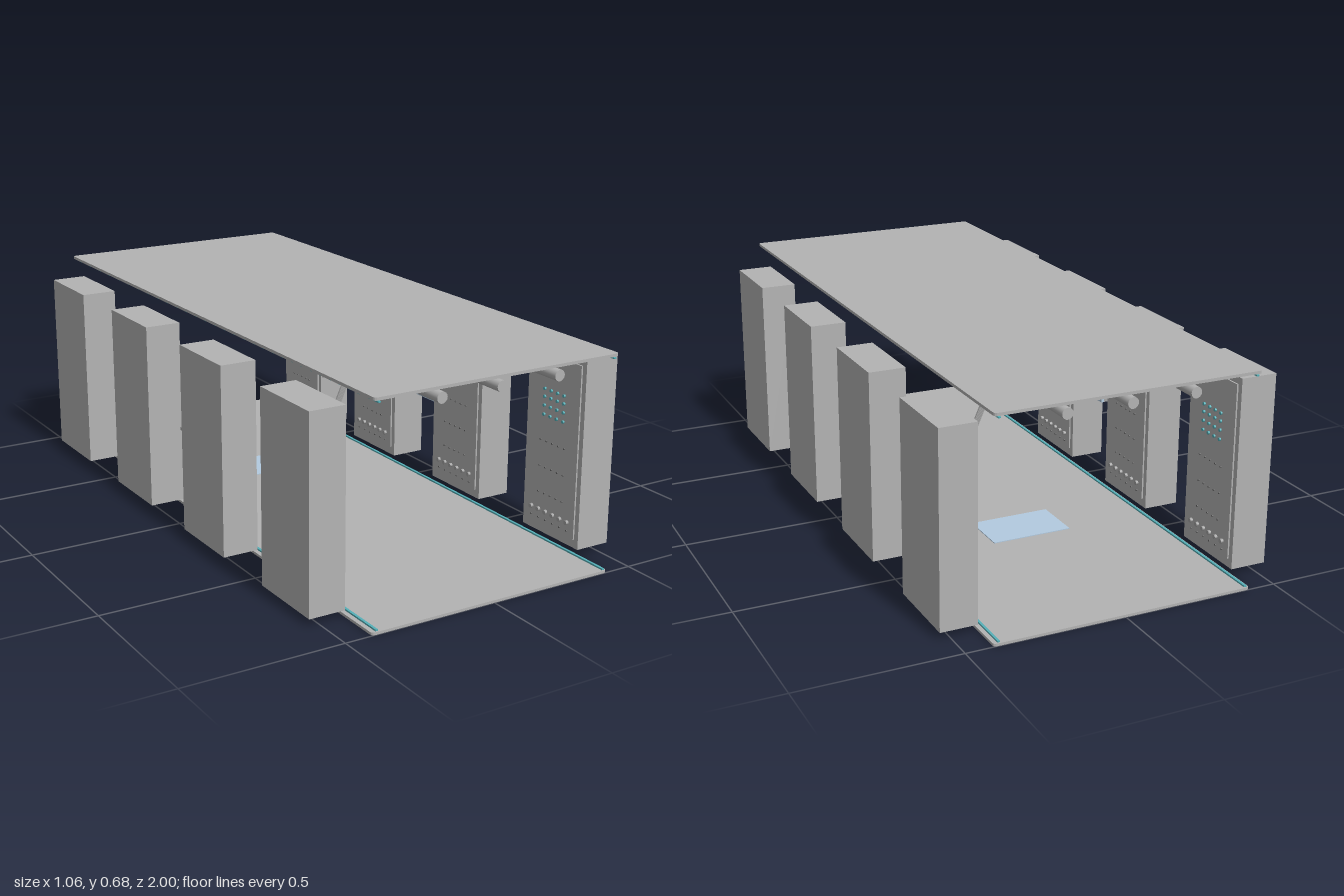
import * as THREE from 'three';

const mat = (name, color) => Object.assign(new THREE.MeshStandardMaterial({ color }), { name });

export function createModel() {
  const root = new THREE.Group();
  root.name = 'equipmentRoom';
  const grey = mat('grey', 0xb3b3b3);
  const steel = mat('steel', 0xa3a3a3);
  const teal = mat('teal', 0x55b0b8);
  const glass = mat('paleBlue', 0xb3cbe0);
  const dark = mat('darkGrey', 0x666666);

  const add = (parent, name, geo, material, x = 0, y = 0, z = 0) => {
    const m = new THREE.Mesh(geo, material);
    m.name = name;
    m.position.set(x, y, z);
    parent.add(m);
    return m;
  };
  const box = (parent, name, material, w, h, d, x, y, z) =>
    add(parent, name, new THREE.BoxGeometry(w, h, d), material, x, y, z);

  // Floor and ceiling: slabs with slightly rounded corners
  const slab = (name, y, h) => {
    const w = 0.415, d = 1, r = 0.012;
    const s = new THREE.Shape();
    s.moveTo(-w + r, -d);
    s.lineTo(w - r, -d);
    s.quadraticCurveTo(w, -d, w, -d + r);
    s.lineTo(w, d - r);
    s.quadraticCurveTo(w, d, w - r, d);
    s.lineTo(-w + r, d);
    s.quadraticCurveTo(-w, d, -w, d - r);
    s.lineTo(-w, -d + r);
    s.quadraticCurveTo(-w, -d, -w + r, -d);
    const g = new THREE.ExtrudeGeometry(s, { depth: h, bevelEnabled: false, curveSegments: 4 });
    g.rotateX(-Math.PI / 2);
    add(root, name, g, grey, 0, y, 0);
  };
  slab('floor', 0, 0.008);
  slab('ceiling', 0.668, 0.009);
  box(root, 'floorHatch', glass, 0.264, 0.003, 0.165, 0, 0.0092, -0.33);

  // Light strips along the long edges
  for (const s of [-1, 1]) {
    box(root, 'floorStrip', teal, 0.008, 0.005, 2, s * 0.4, 0.0135, 0);
    box(root, 'ceilingStrip', teal, 0.008, 0.004, 2, s * 0.4, 0.6635, 0);
  }

  // Ceiling rails with clamps and small hanging nozzles
  for (const x of [-0.2, 0, 0.2]) {
    const rail = new THREE.Group();
    rail.name = 'ceilingRail';
    rail.position.x = x;
    root.add(rail);
    const tube = new THREE.CylinderGeometry(0.017, 0.017, 2, 16);
    tube.rotateX(Math.PI / 2);
    add(rail, 'tube', tube, grey, 0, 0.643, 0);
    for (const z of [-0.58, 0, 0.58]) {
      box(rail, 'mountPlate', steel, 0.056, 0.006, 0.04, 0, 0.665, z);
      box(rail, 'mountStem', steel, 0.024, 0.012, 0.025, 0, 0.657, z);
      box(rail, 'clamp', steel, 0.043, 0.018, 0.03, 0, 0.643, z);
    }
    for (const z of [0.417, -0.085]) {
      add(rail, 'nozzleStem', new THREE.CylinderGeometry(0.004, 0.004, 0.016, 8), steel, 0, 0.625, z);
      add(rail, 'nozzle', new THREE.SphereGeometry(0.006, 10, 8), steel, 0, 0.619, z);
    }
  }

  // One ribbed brace with end brackets per side, at opposite ends of the room
  for (const s of [-1, 1]) {
    const z = s * -0.5;
    const ribs = (name, n, step, top, bottom) => {
      for (let i = 0; i < n; i++) {
        const o = i * step, w = step * 0.85;
        const shape = new THREE.Shape([
          [top[0] + o, top[1]], [top[0] + o + w, top[1]],
          [bottom[0] + o + w, bottom[1]], [bottom[0] + o, bottom[1]],
        ].map(([x, y]) => new THREE.Vector2(s * x, y)));
        const g = new THREE.ExtrudeGeometry(shape, { depth: 0.006, bevelEnabled: false });
        add(root, name, g, steel, 0, 0, z - 0.003);
      }
    };
    ribs('brace', 5, 0.0042, [0.18, 0.557], [0.314, 0.253]);
    ribs('upperBracket', 5, 0.0045, [0.156, 0.628], [0.156, 0.597]);
    ribs('lowerBracket', 5, 0.0042, [0.34, 0.28], [0.34, 0.23]);
  }

  // Side screens on small feet
  for (const s of [-1, 1]) {
    box(root, 'sideScreen', glass, 0.01, 0.117, 0.165, s * 0.429, 0.341, 0);
    for (const z of [-0.067, 0.067])
      box(root, 'screenFoot', steel, 0.022, 0.01, 0.03, s * 0.437, 0.288, z);
  }

  // Cabinet with a control face on its inner side, built for the +x side
  const peg = (r, h) => new THREE.CylinderGeometry(r, r, h, 10).rotateZ(Math.PI / 2);
  const button = peg(0.005, 0.008);
  const dot = peg(0.0028, 0.005);
  const knob = peg(0.007, 0.012);
  const foot = new THREE.CylinderGeometry(0.006, 0.006, 0.006, 10);
  const cabinet = (side, z) => {
    const c = new THREE.Group();
    c.name = 'cabinet';
    c.position.z = z;
    if (side < 0) c.rotation.y = Math.PI;
    root.add(c);
    box(c, 'cabinetBody', grey, 0.116, 0.6, 0.265, 0.474, 0.322, 0);
    box(c, 'controlPanel', grey, 0.005, 0.55, 0.23, 0.4135, 0.325, 0);
    for (const x of [0.428, 0.52])
      for (const fz of [-0.11, 0.11]) add(c, 'foot', foot, steel, x, 0.0205, fz);
    for (const y of [0.49, 0.465, 0.437, 0.408])
      for (let i = 0; i < 4; i++)
        add(c, 'button', button, teal, 0.409, y, (i - 1.5) * 0.03);
    for (const y of [0.325, 0.24, 0.155])
      for (let i = 0; i < 5; i++)
        add(c, 'indicator', dot, dark, 0.4095, y, (i - 2) * 0.028);
    for (let i = 0; i < 6; i++) {
      add(c, 'knob', knob, steel, 0.408, 0.097, (i - 2.5) * 0.034);
      add(c, 'socket', dot, dark, 0.4095, 0.07, (i - 2.5) * 0.034);
    }
  };
  for (const side of [-1, 1])
    for (const z of [-0.77, -0.27, 0.231, 0.731]) cabinet(side, z);

  return root;
}
